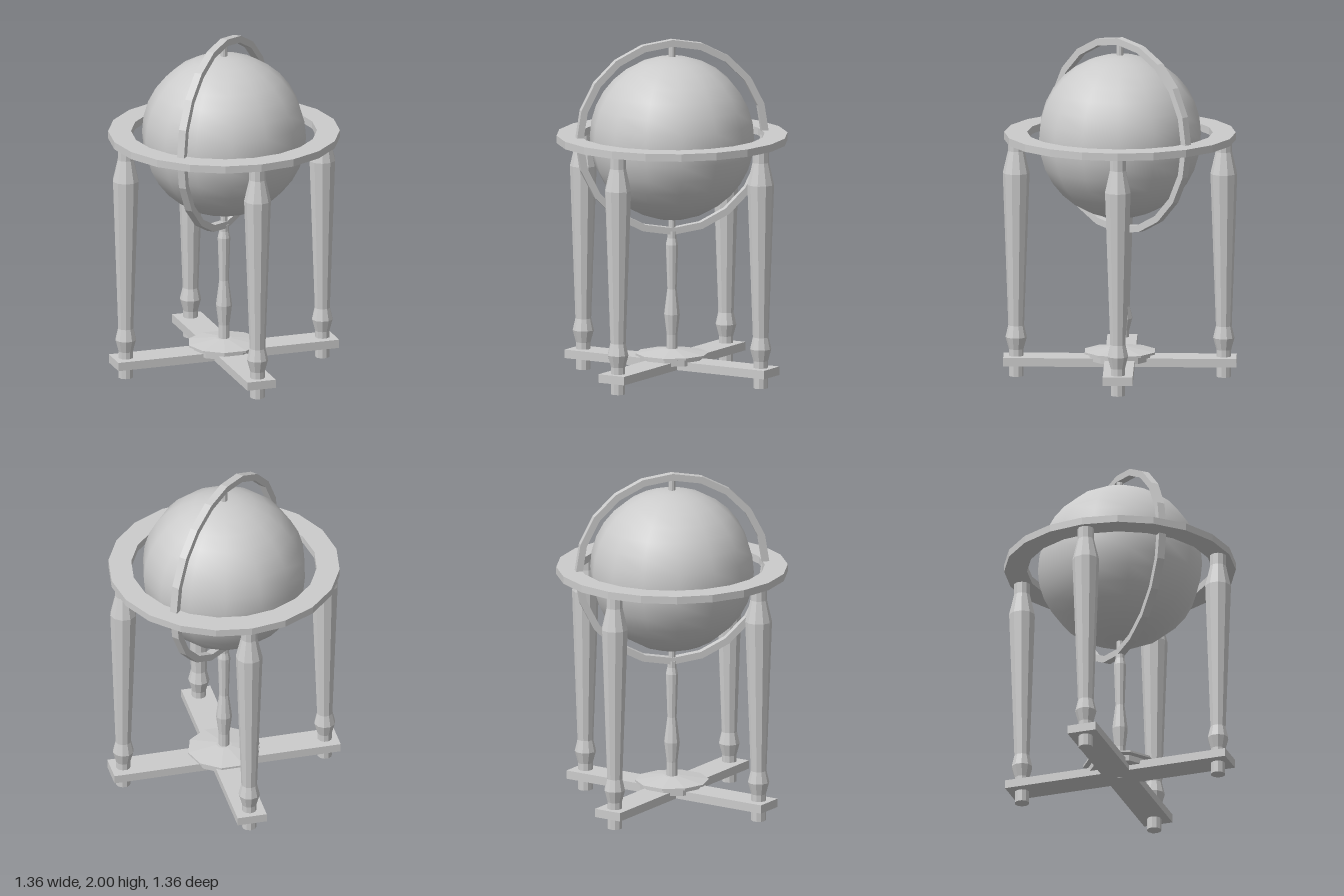
import * as THREE from 'three';

const smooth = new THREE.MeshStandardMaterial({ color: 0xcccccc });
const faceted = new THREE.MeshStandardMaterial({ color: 0xcccccc, flatShading: true });

// Turned part: profile of [radius, height] pairs, listed bottom to top
function turned(name, profile, sides) {
  const points = profile.map(([r, y]) => new THREE.Vector2(r, y));
  const mesh = new THREE.Mesh(new THREE.LatheGeometry(points, sides), faceted);
  mesh.name = name;
  return mesh;
}

// Flat ring with a rectangular section, centred on its own origin
function band(name, inner, outer, height) {
  const h = height / 2;
  return turned(name, [[inner, -h], [outer, -h], [outer, h], [inner, h], [inner, -h]], 20);
}

export function createModel() {
  const model = new THREE.Group();
  model.name = 'floorGlobe';
  const centreY = 1.425;

  // Globe with a pin at each pole
  const globe = new THREE.Mesh(new THREE.SphereGeometry(0.48, 14, 16), smooth);
  globe.name = 'globe';
  globe.position.y = 1.42;
  model.add(globe);
  for (const s of [1, -1]) {
    const pin = new THREE.Mesh(new THREE.CylinderGeometry(0.02, 0.02, 0.1, 10), faceted);
    pin.name = s > 0 ? 'topPin' : 'bottomPin';
    pin.position.y = centreY + s * 0.5;
    model.add(pin);
  }

  // Upright meridian ring, set diagonally
  const meridian = band('meridianRing', 0.535, 0.575, 0.045);
  meridian.rotation.x = Math.PI / 2;
  const meridianMount = new THREE.Group();
  meridianMount.name = 'meridianMount';
  meridianMount.add(meridian);
  meridianMount.rotation.y = Math.PI / 4;
  meridianMount.position.y = centreY;
  model.add(meridianMount);

  // Horizontal ring carried by the legs
  const horizon = band('horizonRing', 0.54, 0.673, 0.044);
  horizon.position.y = 1.42;
  model.add(horizon);

  // Four turned legs with feet
  const legProfile = [
    [0, 0], [0.043, 0], [0.043, 0.16], [0.062, 0.23], [0.046, 0.3],
    [0.078, 1.2], [0.048, 1.33], [0.048, 1.4], [0, 1.4],
  ];
  for (let i = 0; i < 4; i++) {
    const mount = new THREE.Group();
    mount.name = 'legMount';
    mount.rotation.y = (i * Math.PI) / 2;
    const leg = turned('leg', legProfile, 10);
    leg.position.z = 0.603;
    mount.add(leg);
    model.add(mount);
  }

  // Crossed stretcher
  const a = 0.087, b = 0.677;
  const arm = [[b, -a], [b, a], [a, a]];
  const outline = [];
  for (let i = 0; i < 4; i++) {
    for (const [x, y] of arm) {
      outline.push(new THREE.Vector2(x, y).rotateAround(new THREE.Vector2(), (i * Math.PI) / 2));
    }
  }
  const crossGeometry = new THREE.ExtrudeGeometry(new THREE.Shape(outline), { depth: 0.05, bevelEnabled: false });
  crossGeometry.rotateX(-Math.PI / 2);
  const stretcher = new THREE.Mesh(crossGeometry, faceted);
  stretcher.name = 'crossStretcher';
  stretcher.position.y = 0.07;
  model.add(stretcher);

  // Central dish and spindle reaching up to the meridian ring
  const dish = turned('centreDish', [
    [0, 0.1], [0.185, 0.1], [0.185, 0.135], [0.214, 0.14], [0.214, 0.152], [0.045, 0.178], [0, 0.178],
  ], 10);
  dish.rotation.y = Math.PI / 2;
  model.add(dish);
  model.add(turned('centreSpindle', [
    [0, 0.067], [0.015, 0.067], [0.015, 0.12], [0.032, 0.17], [0.032, 0.26], [0.047, 0.38],
    [0.028, 0.53], [0.037, 0.79], [0.028, 0.83], [0.028, 0.87], [0, 0.87],
  ], 10));

  return model;
}
